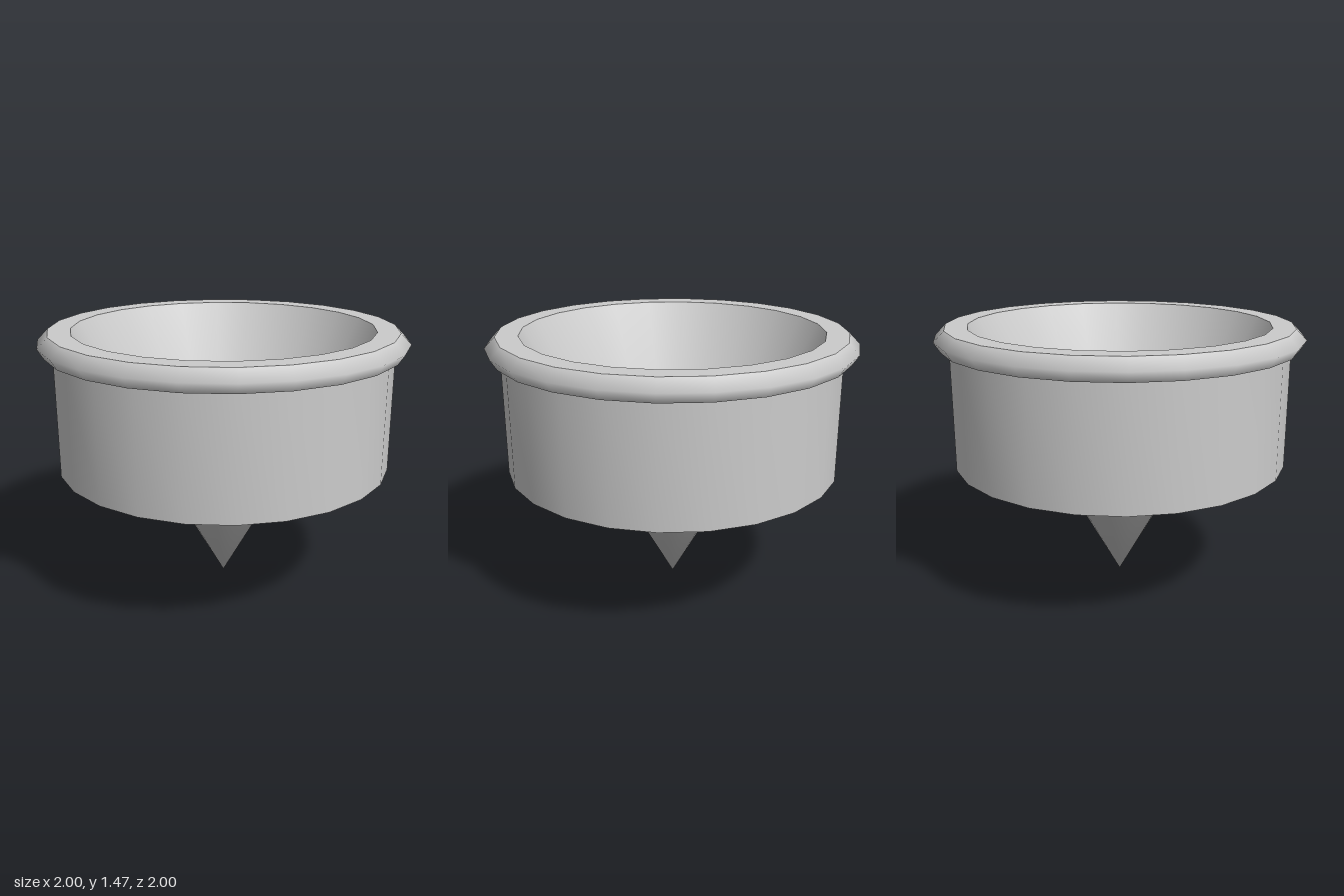
import * as THREE from 'three';
import { mergeVertices } from 'three/addons/utils/BufferGeometryUtils.js';

const SIDES = 24;
const material = new THREE.MeshStandardMaterial({ color: 0xcccccc, side: THREE.DoubleSide });

// One revolved sheet, smooth within itself and sharp against its neighbours
function revolve(name, profile) {
  let geometry = new THREE.LatheGeometry(profile.map(([r, y]) => new THREE.Vector2(r, y)), SIDES);
  geometry.deleteAttribute('normal');
  geometry.deleteAttribute('uv');
  geometry = mergeVertices(geometry, 1e-4);
  geometry.computeVertexNormals();
  const mesh = new THREE.Mesh(geometry, material);
  mesh.name = name;
  return mesh;
}

export function createModel() {
  const group = new THREE.Group();
  group.name = 'coneFunnel';
  group.add(
    // Open sleeve hanging from the rim
    revolve('sleeve', [[0.922, 0.71], [0.922, 1.355]]),
    // Rim: ledge, bulging edge and flat top
    revolve('rimLedge', [[0.922, 1.355], [0.965, 1.355]]),
    revolve('rimEdge', [[0.965, 1.355], [1, 1.41], [0.943, 1.468]]),
    revolve('rimTop', [[0.943, 1.468], [0.822, 1.468]]),
    // Hollow cone, open at the top with its point on the ground
    revolve('cone', [[0.822, 1.468], [0, 0]]),
  );
  return group;
}
